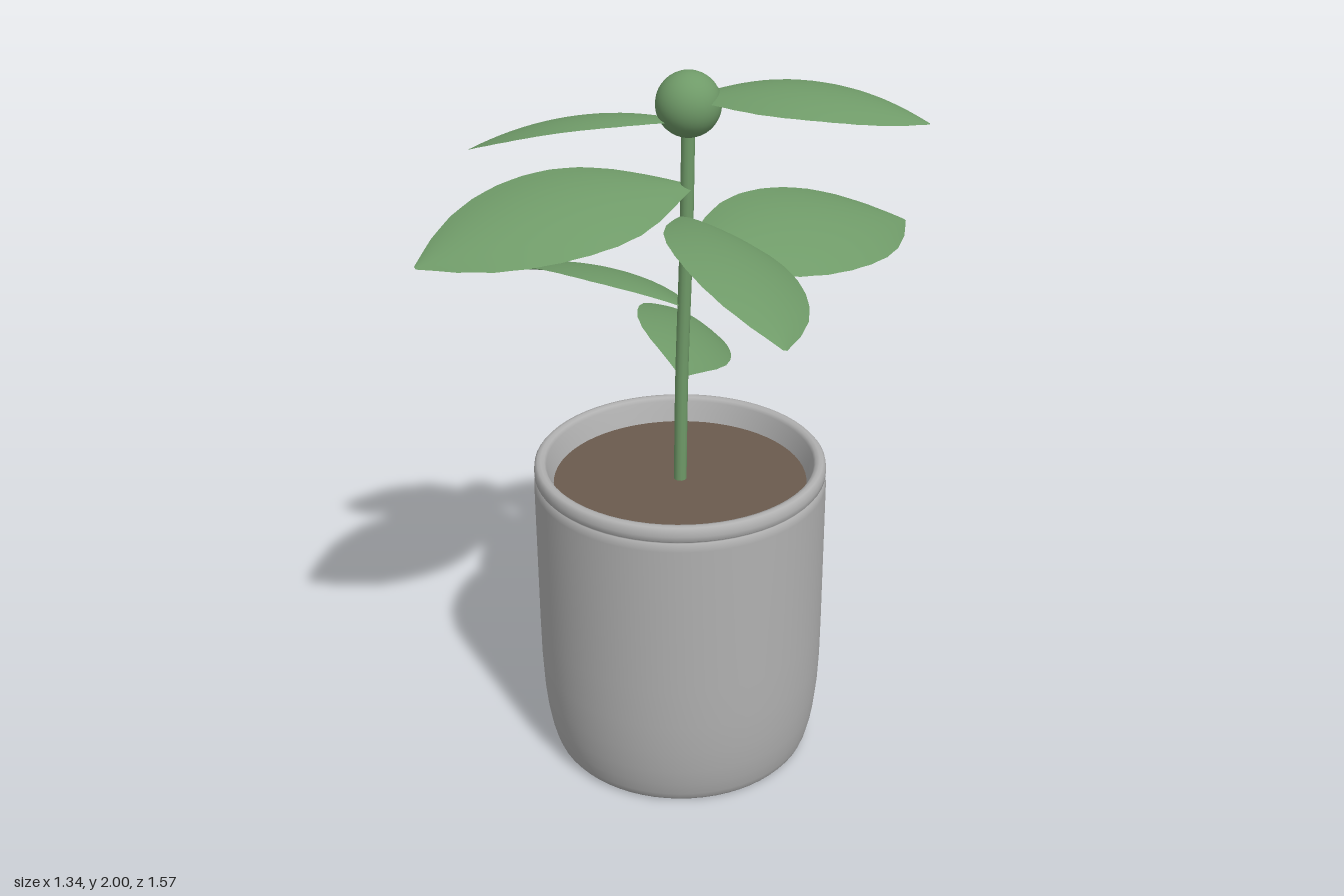
import * as THREE from 'three';

const V2 = (x, y) => new THREE.Vector2(x, y);
const V3 = (x, y, z) => new THREE.Vector3(x, y, z);

// Half width of a leaf along its length, relative to the widest point
const WIDTHS = [0.1, 0.4, 0.68, 0.88, 0.98, 1.0, 0.96, 0.86, 0.68, 0.4, 0.03];

function leafWidth(t) {
  const f = Math.min(Math.max(t, 0), 1) * (WIDTHS.length - 1);
  const i = Math.min(Math.floor(f), WIDTHS.length - 2);
  return THREE.MathUtils.lerp(WIDTHS[i], WIDTHS[i + 1], f - i);
}

// Arched, domed leaf running from base to tip; positive roll lifts its right edge
function makeLeaf(base, tip, halfWidth, rollDegrees, material) {
  const along = tip.clone().sub(base);
  const length = along.length();
  along.normalize();
  const right = V3(-along.z, 0, along.x).normalize();
  const normal = right.clone().cross(along).normalize();
  right.applyAxisAngle(along, -THREE.MathUtils.degToRad(rollDegrees));
  normal.applyAxisAngle(along, -THREE.MathUtils.degToRad(rollDegrees));

  const geometry = new THREE.PlaneGeometry(1, 2, 20, 10).rotateX(-Math.PI / 2);
  const p = geometry.attributes.position;
  for (let i = 0; i < p.count; i++) {
    const t = p.getX(i) + 0.5;
    const s = p.getZ(i);
    const w = halfWidth * leafWidth(t);
    const arch = 0.085 * length * 4 * t * (1 - t);
    p.setXYZ(i, t * length, arch - 0.17 * w * s * s, s * w);
  }
  geometry.applyMatrix4(new THREE.Matrix4().makeBasis(along, normal, right));
  geometry.computeVertexNormals();
  const mesh = new THREE.Mesh(geometry, material);
  mesh.position.copy(base);
  return mesh;
}

export function createModel() {
  const model = new THREE.Group();
  const green = new THREE.MeshStandardMaterial({ color: 0x6f9a68, side: THREE.DoubleSide });
  green.name = 'leaf green';
  const grey = new THREE.MeshStandardMaterial({ color: 0xb0b0b0 });
  grey.name = 'pot grey';
  const brown = new THREE.MeshStandardMaterial({ color: 0x6b5b4e });
  brown.name = 'soil brown';

  const add = (name, geometry, material, x, y, z) => {
    const mesh = new THREE.Mesh(geometry, material);
    mesh.name = name;
    mesh.position.set(x, y, z);
    model.add(mesh);
    return mesh;
  };
  const potZ = 0.05;

  // Pot: base, rounded wall, groove below the rim, inner wall
  const wall = [
    V2(0.001, 0), V2(0.355, 0), V2(0.364, 0.003), V2(0.371, 0.012), V2(0.378, 0.03),
    V2(0.388, 0.07), V2(0.396, 0.12), V2(0.403, 0.19), V2(0.407, 0.28), V2(0.408, 0.4),
    V2(0.408, 0.84), V2(0.406, 0.858), V2(0.4, 0.863), V2(0.4, 0.867), V2(0.406, 0.871),
    V2(0.407, 0.885), V2(0.405, 0.9), V2(0.398, 0.908), V2(0.388, 0.91), V2(0.378, 0.907),
    V2(0.372, 0.898), V2(0.365, 0.87), V2(0.352, 0.835), V2(0.35, 0.82),
  ];
  add('pot', new THREE.LatheGeometry(wall, 64), grey, 0, 0, potZ);
  add('soil', new THREE.CylinderGeometry(0.355, 0.35, 0.02, 64), brown, 0, 0.83, potZ);

  // Stem, leaning slightly towards the back left
  const stemPath = new THREE.CatmullRomCurve3([
    V3(0, 0.83, 0.05), V3(0.005, 1.15, 0.047), V3(0.015, 1.55, 0.038), V3(0.018, 1.9, 0.032),
  ]);
  add('stem', new THREE.TubeGeometry(stemPath, 20, 0.018, 12), green, 0, 0, 0);
  add('bud', new THREE.SphereGeometry(0.085, 32, 20), green, 0.018, 1.915, 0.032);

  // Leaves: base height, tip, half width, roll
  const leaves = [
    ['lowRightLeaf', 1.165, [-0.48, 1.09, -0.325], 0.15, -26],
    ['lowSideLeaf', 1.365, [-0.67, 1.29, 0.16], 0.172, -20],
    ['backLeaf', 1.49, [0, 1.415, -0.79], 0.205, -18],
    ['leftLeaf', 1.615, [0.67, 1.53, 0.27], 0.172, 19],
    ['frontLeaf', 1.7, [-0.1, 1.62, 0.78], 0.188, 15],
    ['topFrontLeaf', 1.87, [-0.35, 1.79, 0.46], 0.135, -10],
    ['topBackLeaf', 1.93, [0.44, 1.88, -0.405], 0.137, -5],
  ];
  for (const [name, y, tip, halfWidth, roll] of leaves) {
    const base = stemPath.getPointAt(Math.min((y - 0.83) / 1.07, 1));
    base.y = y;
    const leaf = makeLeaf(base, V3(...tip), halfWidth, roll, green);
    leaf.name = name;
    model.add(leaf);
  }
  return model;
}
